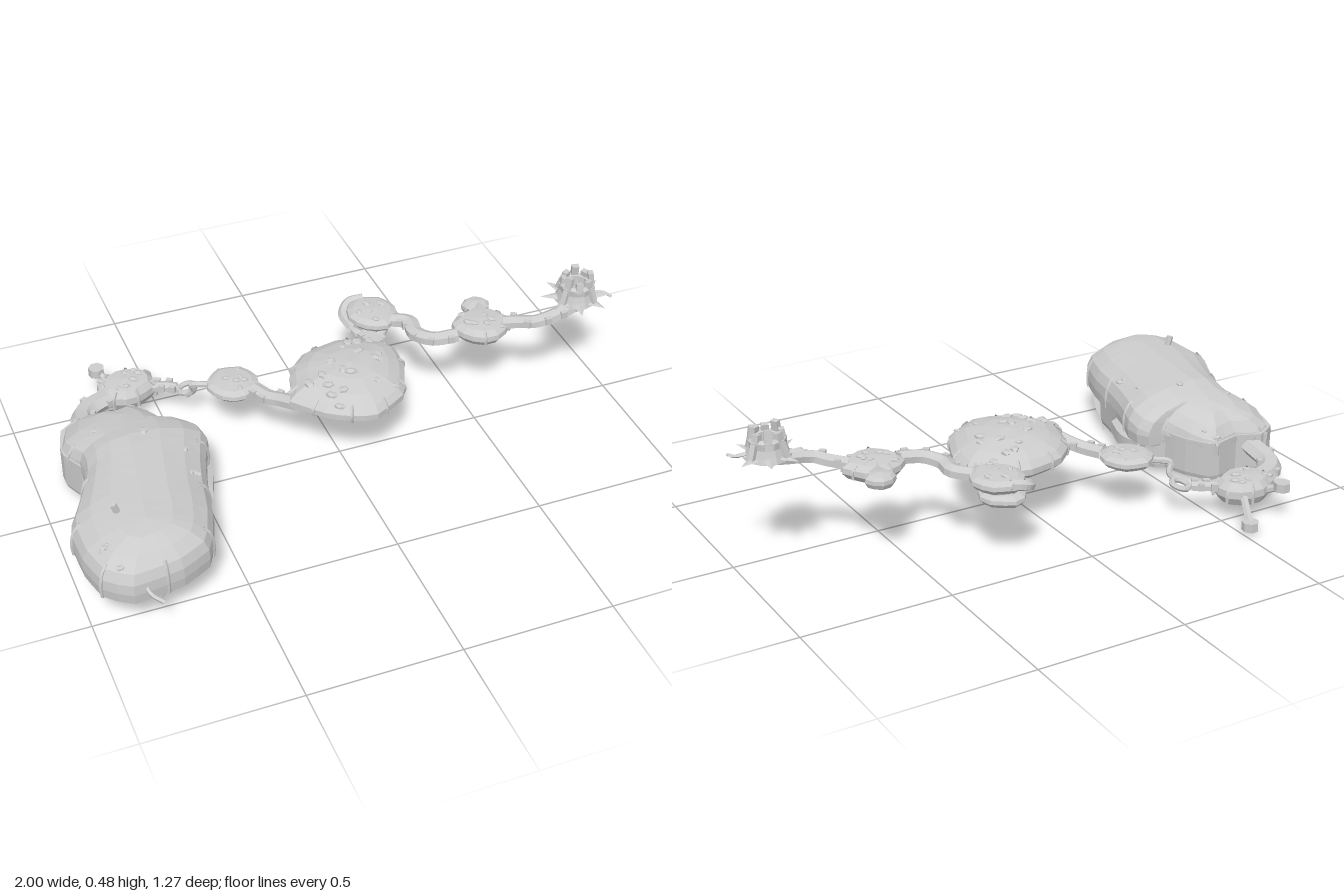
import * as THREE from 'three';

const mat = new THREE.MeshStandardMaterial({ color: 0xcccccc, flatShading: true, side: THREE.DoubleSide });
let seed = 7;
const rnd = () => (seed = (seed * 16807) % 2147483647) / 2147483647;
const V = (p) => new THREE.Vector3(...p);

export function createModel() {
  const root = new THREE.Group();
  const add = (geo, name, pos = [0, 0, 0], rot = [0, 0, 0], scale = [1, 1, 1]) => {
    const m = new THREE.Mesh(geo, mat);
    m.name = name;
    m.position.set(...pos);
    m.rotation.set(...rot);
    m.scale.set(...scale);
    root.add(m);
  };

  // Smooth closed plan outline from a few [x, z] points
  const smooth = (pts, n) => new THREE.CatmullRomCurve3(
    pts.map(([x, z]) => new THREE.Vector3(x, 0, z)), true, 'catmullrom', 0.15)
    .getSpacedPoints(n).slice(0, n).map((p) => [p.x, p.z]);

  const blob = (cx, cz, rx, rz, n = 14) => Array.from({ length: n }, (_, i) => {
    const a = (i / n) * Math.PI * 2, r = 0.92 + 0.14 * rnd();
    return [cx + Math.cos(a) * rx * r, cz + Math.sin(a) * rz * r];
  });

  // Island: outline drawn in to a centre (or a spine, given as a function of z)
  // for each [scale, y] layer, bottom to top; sink lowers the upper layers by z
  const island = (name, outline, centre, layers, sink = () => 0) => {
    const n = outline.length, pos = [], idx = [];
    const at = (i, s, y) => {
      const [x, z] = outline[i % n], [cx, cz] = typeof centre === 'function' ? centre(z) : centre;
      const pz = cz + (z - cz) * s;
      return [cx + (x - cx) * s, y - (y > .19 ? sink(pz) : 0), pz];
    };
    layers.forEach(([s, y]) => { for (let i = 0; i < n; i++) pos.push(...at(i, s, y)); });
    for (let l = 0; l < layers.length - 1; l++) for (let i = 0; i < n; i++) {
      const j = (i + 1) % n, a = l * n, b = a + n;
      idx.push(a + j, a + i, b + i, a + j, b + i, b + j);
    }
    const g = new THREE.BufferGeometry();
    g.setAttribute('position', new THREE.Float32BufferAttribute(pos, 3));
    g.setIndex(idx);
    g.computeVertexNormals();
    add(g, name);
    return { at, n, layers };
  };

  // Height of an island's upper surface at a given scale
  const topY = ({ layers }, s) => {
    for (let l = layers.length - 1; l > 0; l--) {
      const [s1, y1] = layers[l], [s0, y0] = layers[l - 1];
      if (s <= s0) return y1 + (y0 - y1) * (s - s1) / (s0 - s1 || 1);
    }
    return layers[0][1];
  };

  const tube = (name, pts, r, flat = 1, sides = 6) => add(new THREE.TubeGeometry(
    new THREE.CatmullRomCurve3(pts.map(([x, y, z]) => new THREE.Vector3(x, y / flat, z))),
    pts.length * 4, r, sides), name, [0, 0, 0], [0, 0, 0], [1, flat, 1]);

  const pebbles = (isl, count, size) => {
    const g = new THREE.DodecahedronGeometry(1);
    for (let k = 0; k < count; k++) {
      const s = 0.2 + 0.7 * rnd(), r = size * (0.6 + 0.6 * rnd());
      add(g, 'pebble', isl.at(Math.floor(rnd() * isl.n), s, topY(isl, s)),
        [0, rnd() * 6, 0], [r * 1.4, r * 0.5, r]);
    }
  };

  // Vines hugging the rim
  const vines = (isl, step, r, path) => {
    for (let i = 1; i < isl.n; i += step) tube('vine', path.map(([s, y]) => isl.at(i, s, y)), r, 1, 4);
  };

  // Main rock mass, domed along a spine and lower towards the rear
  const bigOutline = smooth([[-.88, -.26], [-.81, -.3], [-.73, -.26], [-.62, -.29], [-.56, -.19], [-.54, -.11],
    [-.46, -.1], [-.455, -.01], [-.5, .11], [-.535, .24], [-.555, .35], [-.61, .5], [-.72, .56], [-.88, .58],
    [-.96, .52], [-.99, .41], [-.993, .27], [-.94, .17], [-.88, .04], [-.87, -.05], [-.915, -.14]], 44);
  const spine = (z) => {
    const c = THREE.MathUtils.clamp(z, -.15, .4);
    return [-.7 - .08 * (c + .15) / .55, c];
  };
  const big = island('mainRock', bigOutline, spine,
    [[0, .135], [.9, .12], [.98, .125], [1, .16], [.985, .195], [.91, .228], [.7, .259], [.4, .282], [0, .29]],
    (z) => Math.max(0, -z) * .2);
  pebbles(big, 10, .012);
  vines(big, 4, .006, [[.86, .238], [.95, .214], [1, .17], [.985, .125]]);

  // Lower blocks flush with the mass, with a cave between them
  island('rearBase', smooth([[-.885, -.25], [-.81, -.295], [-.73, -.262], [-.62, -.288], [-.56, -.19], [-.535, -.1],
    [-.49, -.09], [-.5, -.02], [-.6, -.01], [-.8, .0], [-.87, -.04], [-.915, -.14]], 28), [-.72, -.14],
  [[0, .035], [.97, .035], [1, .05], [1, .17], [0, .17]]);
  island('middleBase', smooth([[-.88, .14], [-.72, .17], [-.6, .1], [-.51, .11], [-.535, .22], [-.56, .33],
    [-.66, .36], [-.8, .33], [-.88, .39], [-.95, .37], [-.95, .24]], 24),
  [-.73, .25], [[0, .042], [.96, .042], [1, .06], [1.03, .16], [0, .16]]);
  tube('caveBeam', [[-.5, .105, -.06], [-.495, .1, .03], [-.53, .1, .14]], .042);

  // Hanging roots, post and hook
  add(new THREE.CylinderGeometry(.03, .022, .09, 6), 'hangingRoot', [-.78, .09, .475], [-.15, 0, 0]);
  tube('hangingRoot', [[-.6, .14, .4], [-.58, .09, .37], [-.58, .05, .33], [-.58, .012, .315]], .014, 1, 5);
  add(new THREE.CylinderGeometry(.012, .012, .09, 6), 'post', [-.85, .27, .33], [0, 0, .3]);
  add(new THREE.TorusGeometry(.035, .008, 5, 10), 'rimHandle', [-.93, .21, .43], [0, 1.1, .3]);
  tube('hook', [[-.84, .18, .56], [-.83, .16, .59], [-.8, .145, .62]], .008, 1, 5);

  // Small station with two lookout knobs
  const slab = (lo, hi) => [[0, lo], [.82, lo], [1, lo + (hi - lo) * .35], [.98, lo + (hi - lo) * .65], [.75, hi - .006], [0, hi]];
  const station = island('station', blob(-.6, -.48, .1, .085), [-.6, -.48], slab(.065, .145));
  pebbles(station, 8, .014);
  vines(station, 2, .006, [[.8, .137], [1, .115], [1, .075]]);
  for (const [x, y, z] of [[-.675, .125, -.585], [-.525, .035, -.62]]) {
    tube('lookoutArm', [[-.6 + (x + .6) * .6, .1, -.54], [x, y, z]], .013);
    add(new THREE.CylinderGeometry(.028, .028, .03, 7), 'lookoutKnob', [x, y, z]);
  }

  // Walkways with small stones along both edges
  const walkway = (pts, r = .03) => {
    tube('walkway', pts, r, .75);
    const c = new THREE.CatmullRomCurve3(pts.map(V));
    for (let t = .1; t < 1; t += .2) {
      const p = c.getPointAt(t), d = c.getTangentAt(t), k = rnd() > .5 ? r * .85 : -r * .85;
      add(new THREE.BoxGeometry(.022, .024, .016), 'edgeStone',
        [p.x - d.z * k, p.y + .006, p.z + d.x * k], [0, Math.atan2(-d.z, d.x), 0]);
    }
  };
  walkway([[-.785, .13, -.25], [-.785, .105, -.37], [-.75, .1, -.42], [-.66, .1, -.46]], .04);
  walkway([[-.53, .105, -.46], [-.47, .11, -.43], [-.44, .11, -.41]], .022);
  add(new THREE.TorusGeometry(.03, .01, 6, 14), 'spiralRing', [-.41, .115, -.39], [1.4, .2, 0]);
  tube('spiralRise', [[-.42, .11, -.36], [-.4, .14, -.34], [-.41, .17, -.33], [-.36, .18, -.3]], .011);

  // Disc island
  const disc = island('discIsland', blob(-.29, -.26, .09, .09), [-.29, -.26], slab(.17, .215));
  pebbles(disc, 6, .01);
  walkway([[-.23, .195, -.2], [-.2, .195, -.14], [-.17, .205, -.1], [-.13, .225, -.03]]);

  // Domed middle island
  const dome = island('domeIsland', smooth([[-.165, -.03], [-.14, -.08], [-.11, -.18], [-.03, -.26], [.11, -.29],
    [.19, -.25], [.27, -.2], [.265, -.08], [.2, .07], [.08, .14], [.02, .13], [-.07, .08]], 30), [.07, -.08],
  [[0, .205], [.88, .205], [1, .225], [1, .245], [.9, .265], [.7, .286], [.4, .302], [0, .31]]);
  pebbles(dome, 20, .015);
  vines(dome, 3, .006, [[.88, .269], [1, .245], [.98, .215]]);
  for (const z of [-.15, -.06, .03]) tube('undersideRib', [[-.07, .203, z], [.07, .198, z], [.2, .203, z]], .006, 1, 4);
  walkway([[.23, .245, -.17], [.23, .24, -.23], [.21, .24, -.3]], .03);

  // Stacked island: lower disc, neck and upper disc with a curled ramp
  island('stackLower', blob(.245, -.36, .075, .085, 12), [.245, -.36], slab(.208, .25));
  add(new THREE.CylinderGeometry(.06, .06, .04, 8), 'stackNeck', [.25, .25, -.35]);
  const stack = island('stackUpper', blob(.26, -.35, .088, .1), [.26, -.35], slab(.258, .305));
  pebbles(stack, 5, .012);
  tube('curledRamp', [[.18, .245, -.34], [.175, .26, -.41], [.21, .28, -.445], [.26, .29, -.435]], .018);
  walkway([[.31, .28, -.29], [.355, .285, -.25], [.35, .285, -.18], [.39, .292, -.12], [.47, .3, -.1]]);

  // Upper island with a side pod
  const upper = island('upperIsland', blob(.565, -.115, .1, .085), [.565, -.115], slab(.275, .335));
  pebbles(upper, 9, .013);
  vines(upper, 3, .005, [[.8, .328], [1, .312], [1, .285]]);
  island('sidePod', blob(.595, -.225, .05, .045, 9), [.595, -.225], slab(.285, .33));
  tube('podNeck', [[.57, .305, -.16], [.6, .305, -.21]], .026);
  walkway([[.64, .315, -.09], [.69, .325, -.06], [.73, .335, -.03], [.83, .352, -.03], [.9, .368, -.04]], .028);

  // Crowned summit: star of spikes, hollow tower and ring of uneven teeth
  const [sx, sz] = [.885, -.05];
  add(new THREE.CylinderGeometry(.068, .075, .018, 10), 'summitBase', [sx, .389, sz]);
  add(new THREE.LatheGeometry([[.068, .395], [.06, .42], [.062, .442], [.05, .45], [.036, .445], [.034, .405], [0, .4]]
    .map((p) => new THREE.Vector2(...p)), 10), 'summitTower', [sx, 0, sz]);
  for (let i = 0; i < 8; i++) {
    const a = (i / 8) * Math.PI * 2 + .3, c = Math.cos(a), s = Math.sin(a);
    add(new THREE.ConeGeometry(.024, .065, 4), 'summitSpike', [sx + c * .09, .39, sz + s * .09],
      [0, -a, -Math.PI / 2], [.4, 1, 1]);
    add(new THREE.BoxGeometry(.018, i % 3 ? .035 : .065, .024), 'summitTooth', [sx + c * .048, .45, sz + s * .048], [0, -a, .15]);
    if (i % 2) add(new THREE.BoxGeometry(.014, .05, .018), 'summitButtress', [sx + c * .067, .415, sz + s * .067], [0, -a, .35]);
  }
  tube('summitTail', [[.95, .395, -.04], [.98, .392, -.03], [.995, .39, 0]], .006, 1, 4);
  return root;
}
